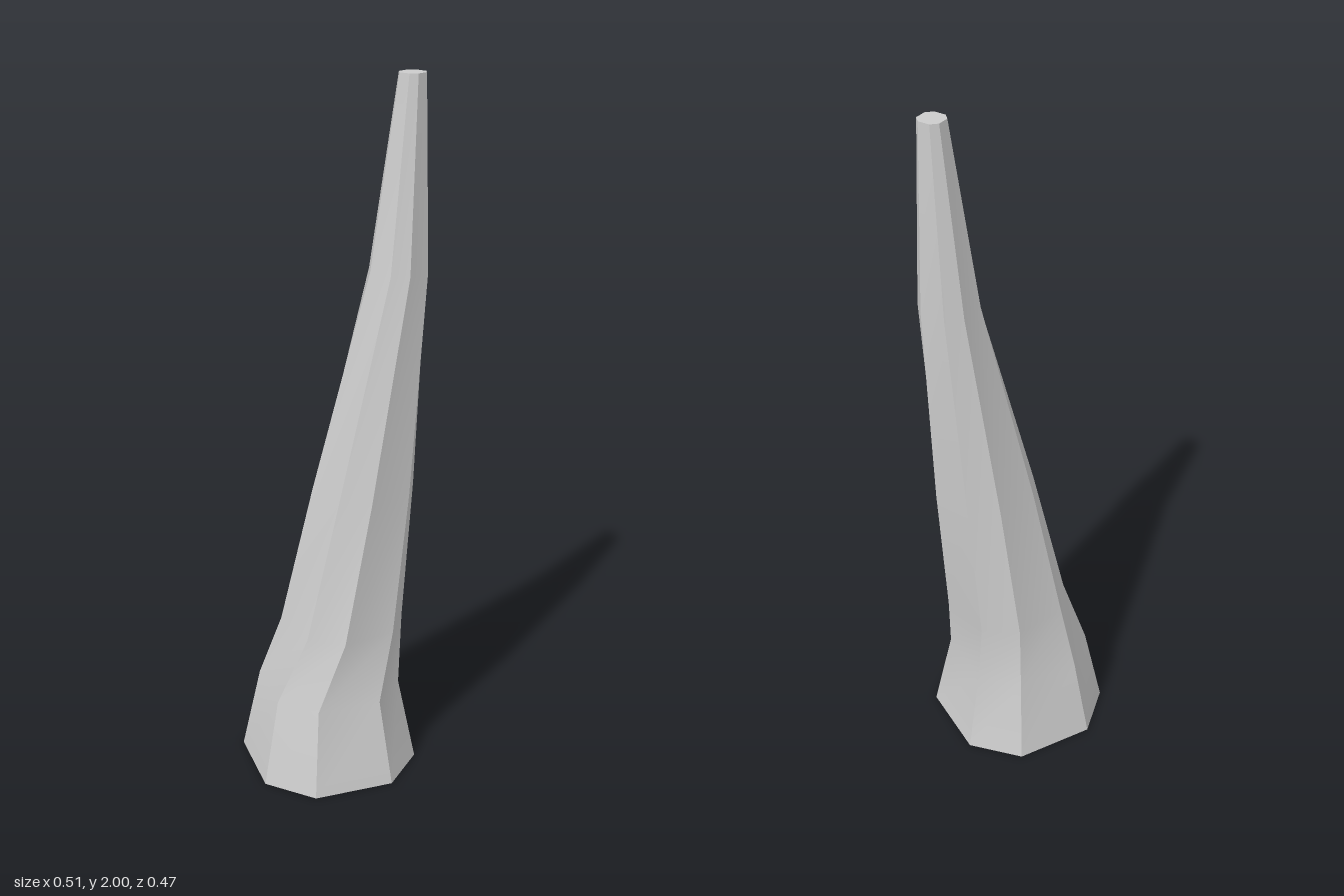
import * as THREE from 'three';
import { toCreasedNormals } from 'three/addons/utils/BufferGeometryUtils.js';

// Bevelled square cross-section, clockwise seen from above: [x, z]
const SECTION = [
  [-0.2325, -0.116], [-0.116, -0.2325], [0.116, -0.2325], [0.2325, -0.116],
  [0.2325, 0.116], [0.116, 0.2325], [-0.116, 0.2325], [-0.2325, 0.116],
];

// Rings from base to tip: height, centre, scale and twist in degrees
const RINGS = [
  { y: 0, x: -0.021, z: -0.001, scale: 1, twist: 0 },
  { y: 0.25, x: -0.02, z: -0.001, scale: 0.795, twist: 0 },
  { y: 0.445, x: 0.02, z: 0, scale: 0.677, twist: 11 },
  { y: 0.86, x: 0.0765, z: 0.02, scale: 0.553, twist: 16.5 },
  { y: 1.48, x: 0.172, z: 0.023, scale: 0.315, twist: 28 },
  { y: 2, x: 0.203, z: 0.023, scale: 0.143, twist: 28 },
];

function hornGeometry() {
  const n = SECTION.length;
  const positions = [];
  const indices = [];

  for (const r of RINGS) {
    const a = THREE.MathUtils.degToRad(r.twist);
    const c = Math.cos(a) * r.scale;
    const s = Math.sin(a) * r.scale;
    for (const [x, z] of SECTION) {
      positions.push(r.x + x * c + z * s, r.y, r.z + z * c - x * s);
    }
  }

  // Side walls
  for (let i = 0; i < RINGS.length - 1; i++) {
    for (let j = 0; j < n; j++) {
      const a = i * n + j;
      const b = i * n + (j + 1) % n;
      indices.push(a, a + n, b, b, a + n, b + n);
    }
  }

  // Flat base and tip
  const top = (RINGS.length - 1) * n;
  for (let j = 1; j < n - 1; j++) {
    indices.push(0, j, j + 1, top, top + j + 1, top + j);
  }

  const geometry = new THREE.BufferGeometry();
  geometry.setAttribute('position', new THREE.Float32BufferAttribute(positions, 3));
  geometry.setIndex(indices);
  return toCreasedNormals(geometry, THREE.MathUtils.degToRad(30));
}

export function createModel() {
  const group = new THREE.Group();
  group.name = 'twistedSpike';
  const spike = new THREE.Mesh(hornGeometry(), new THREE.MeshStandardMaterial({ color: 0xcccccc }));
  spike.name = 'spike';
  group.add(spike);
  return group;
}
